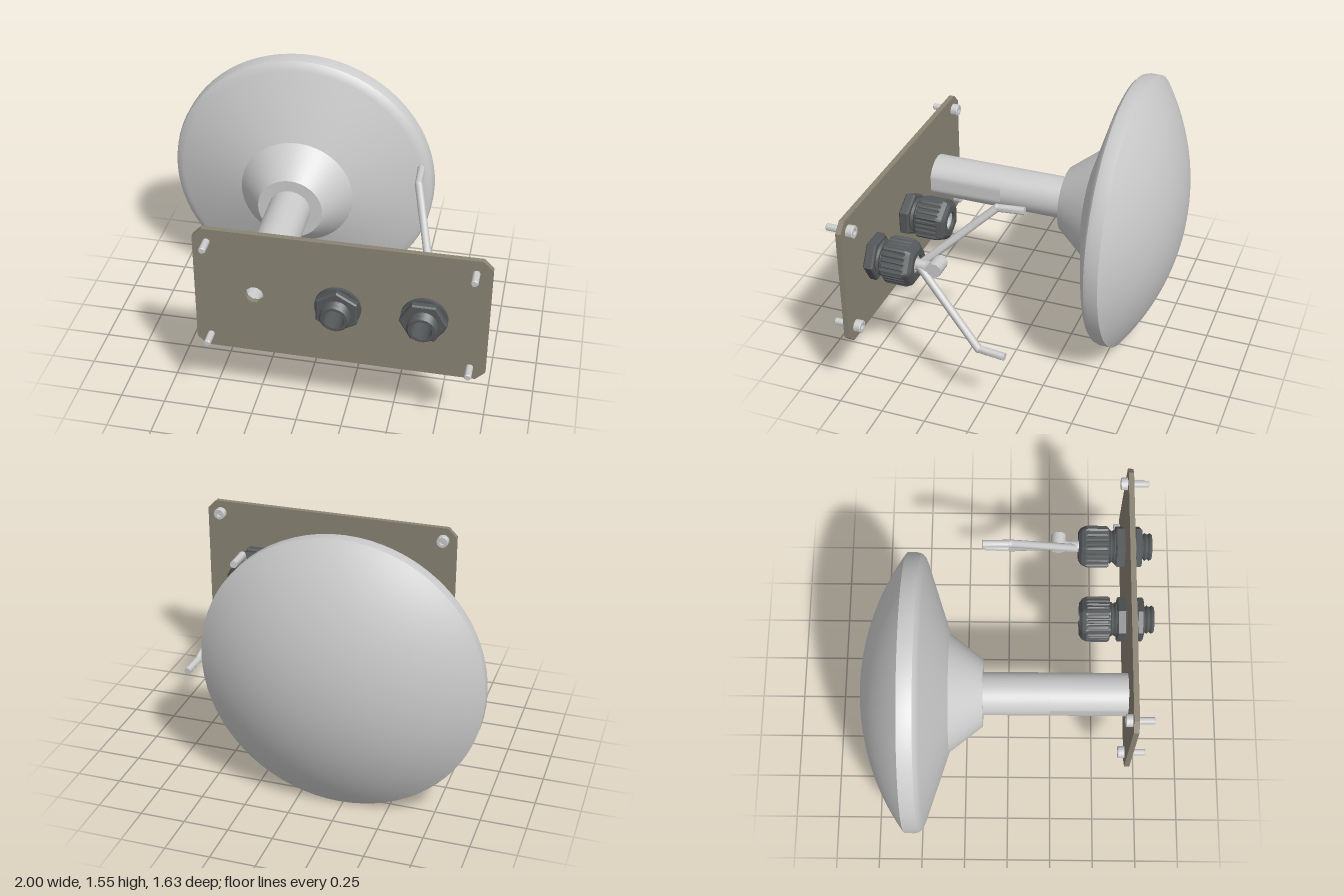
import * as THREE from 'three';
import { toCreasedNormals } from 'three/addons/utils/BufferGeometryUtils.js';

const grey = new THREE.MeshStandardMaterial({ color: 0xcccccc });
const plateMat = new THREE.MeshStandardMaterial({ color: 0x8a8474 });
const darkMat = new THREE.MeshStandardMaterial({ color: 0x55585a });

const CY = 0.775; // height of the common axis line

function add(parent, name, geometry, material) {
  const mesh = new THREE.Mesh(geometry, material);
  mesh.name = name;
  parent.add(mesh);
  return mesh;
}

// Solid of revolution around z; profile is [radius, z] and rule may move vertices
function turned(profile, segments, crease = 0.5, rule = null) {
  const geo = new THREE.LatheGeometry(profile.map(([r, z]) => new THREE.Vector2(r, z)), segments);
  geo.rotateX(Math.PI / 2);
  if (rule) {
    const p = geo.attributes.position, v = new THREE.Vector3();
    for (let i = 0; i < p.count; i++) {
      rule(v.fromBufferAttribute(p, i));
      p.setXYZ(i, v.x, v.y, v.z);
    }
  }
  return toCreasedNormals(geo, crease);
}

function circlePath(x, y, r, n = 24) {
  const path = new THREE.Path();
  for (let i = 0; i <= n; i++) {
    const a = -i / n * Math.PI * 2;
    path[i ? 'lineTo' : 'moveTo'](x + r * Math.cos(a), y + r * Math.sin(a));
  }
  return path;
}

// Flat-sided ring along z with a central hole
function prism(sides, radius, hole, z0, z1) {
  const shape = new THREE.Shape();
  for (let i = 0; i < sides; i++) {
    const a = i / sides * Math.PI * 2;
    shape[i ? 'lineTo' : 'moveTo'](radius * Math.cos(a), radius * Math.sin(a));
  }
  shape.closePath();
  shape.holes.push(circlePath(0, 0, hole));
  const b = 0.008;
  const geo = new THREE.ExtrudeGeometry(shape, {
    depth: z1 - z0 - 2 * b, bevelEnabled: true, bevelThickness: b, bevelSize: b, bevelOffset: -b, bevelSegments: 1,
  });
  return geo.translate(0, 0, z0 + b);
}

// Threaded tube profile
function threaded(z0, z1, r, bore, turns) {
  const pts = [[bore, z0]];
  for (let i = 0; i <= turns * 2; i++) pts.push([r - (i % 2 ? 0 : 0.01), z0 + (z1 - z0) * i / (turns * 2)]);
  pts.push([bore, z1], [bore, z0]);
  return turned(pts, 32, 0.4);
}

// Cable gland centred on the z axis
function cableGland() {
  const g = new THREE.Group();
  g.name = 'cableGland';
  add(g, 'threadedStub', threaded(0.66, 0.815, 0.08, 0.055, 6), darkMat);
  add(g, 'lockNutFlange', turned([[0.06, 0.7], [0.123, 0.7], [0.123, 0.72], [0.06, 0.72]], 36), darkMat);
  add(g, 'lockNut', prism(6, 0.125, 0.065, 0.715, 0.757), darkMat);
  add(g, 'bodyHex', prism(6, 0.128, 0.055, 0.605, 0.66), darkMat);
  add(g, 'bodyThread', threaded(0.54, 0.61, 0.098, 0.055, 3), darkMat);
  // Ribbed, softly six-sided cap with a rounded back end
  const cap = [[0.052, 0.395], [0.082, 0.395], [0.102, 0.41], [0.112, 0.432], [0.115, 0.445],
    [0.115, 0.555], [0.108, 0.567], [0.052, 0.567], [0.052, 0.395]];
  add(g, 'ribbedCap', turned(cap, 120, 0.4, (v) => {
    const r = Math.hypot(v.x, v.y);
    if (r < 0.06) return;
    const a = Math.atan2(v.y, v.x), s = Math.PI / 3;
    const off = ((a % s) + s) % s - s / 2;
    let k = Math.min(1 / Math.cos(off), 1.12);
    if (v.z > 0.44 && v.z < 0.56 && Math.cos(a * 24) < -0.2) k -= 0.06;
    v.x *= k;
    v.y *= k;
  }), darkMat);
  add(g, 'seal', turned([[0.035, 0.41], [0.054, 0.41], [0.054, 0.56], [0.035, 0.56], [0.035, 0.41]], 24), grey);
  return g;
}

function rod(parent, name, a, b, r) {
  const d = b.clone().sub(a);
  const m = add(parent, name, toCreasedNormals(new THREE.CylinderGeometry(r, r, d.length(), 10), 0.8), grey);
  m.position.copy(a).addScaledVector(d, 0.5);
  m.quaternion.setFromUnitVectors(new THREE.Vector3(0, 1, 0), d.normalize());
}

export function createModel() {
  const model = new THREE.Group();
  model.name = 'domeAntennaOnPlate';

  // Mounting plate with clipped corners and through holes
  const x0 = -0.55, x1 = 1, y0 = 0.405, y1 = 1.155, c = 0.05;
  const outline = new THREE.Shape([[x0 + c, y0], [x1 - c, y0], [x1, y0 + c], [x1, y1 - c],
    [x1 - c, y1], [x0 + c, y1], [x0, y1 - c], [x0, y0 + c]].map(([x, y]) => new THREE.Vector2(x, y)));
  outline.holes.push(circlePath(-0.228, CY, 0.05, 10));
  for (const x of [0.22, 0.67]) outline.holes.push(circlePath(x, CY, 0.075));
  const plate = new THREE.ExtrudeGeometry(outline, { depth: 0.03, bevelEnabled: false });
  add(model, 'mountingPlate', plate.translate(0, 0, 0.66), plateMat);

  // Dome: shallow spherical back, rolled rim, conical front and neck
  const dome = [];
  const R = 1.305, end = Math.asin(0.775 / R);
  for (let i = 0; i <= 16; i++) {
    const a = end * i / 16;
    dome.push([R * Math.sin(a), -0.815 + R * (1 - Math.cos(a))]);
  }
  dome.push([0.775, -0.505], [0.768, -0.48], [0.75, -0.463], [0.72, -0.45], [0.33, -0.322], [0.187, -0.14], [0, -0.14]);
  add(model, 'dome', turned(dome, 72, 0.5), grey).position.set(-0.226, CY, 0);

  // Hollow post with flats on both sides near the plate
  const post = [[0.05, -0.14], [0.12, -0.14], [0.12, 0.229], [0.12, 0.231], [0.12, 0.66], [0.05, 0.66], [0.05, -0.14]];
  add(model, 'post', turned(post, 48, 0.5, (v) => {
    if (v.z > 0.23) v.x = THREE.MathUtils.clamp(v.x, -0.112, 0.112);
  }), grey).position.set(-0.228, CY, 0);

  // Corner screws with hollow socket heads
  const screw = [[0, 0.645], [0.017, 0.645], [0.017, 0.622], [0.032, 0.622], [0.035, 0.626], [0.035, 0.66],
    [0.019, 0.66], [0.019, 0.775], [0.015, 0.78], [0, 0.78]].map(([r, z]) => [r, z]);
  const screwGeo = turned(screw, 18, 0.5);
  for (const x of [-0.473, 0.917]) {
    for (const y of [0.48, 1.08]) add(model, 'cornerScrew', screwGeo, grey).position.set(x, y, 0);
  }

  // Two cable glands, the second turned by half a facet
  [[0.22, Math.PI / 6], [0.67, 0]].forEach(([x, turn]) => {
    const gland = cableGland();
    gland.position.set(x, CY, 0);
    gland.rotation.z = turn;
    model.add(gland);
  });

  // Forked sensor: a stem, a cross hub and two bent arms
  const fork = new THREE.Group();
  fork.name = 'forkedSensor';
  fork.position.set(0.67, CY, 0);
  model.add(fork);
  const V = (x, y, z) => new THREE.Vector3(x, y, z);
  rod(fork, 'stem', V(0, 0, 0.46), V(0, 0, 0.33), 0.032);
  rod(fork, 'hubLink', V(0, 0, 0.35), V(0.008, 0.018, 0.27), 0.03);
  rod(fork, 'hub', V(-0.035, 0.025, 0.28), V(0.06, 0.025, 0.28), 0.042);
  for (const s of [-1, 1]) {
    const root = V(s * 0.01, 0, 0.385), bend = V(s * 0.147, -s * 0.352, 0), tip = V(s * 0.155, -s * 0.36, -0.15);
    rod(fork, 'armSlope', root, bend, 0.022);
    add(fork, 'armBend', new THREE.SphereGeometry(0.022, 12, 8), grey).position.copy(bend);
    rod(fork, 'armTip', bend, tip, 0.021);
  }
  return model;
}
